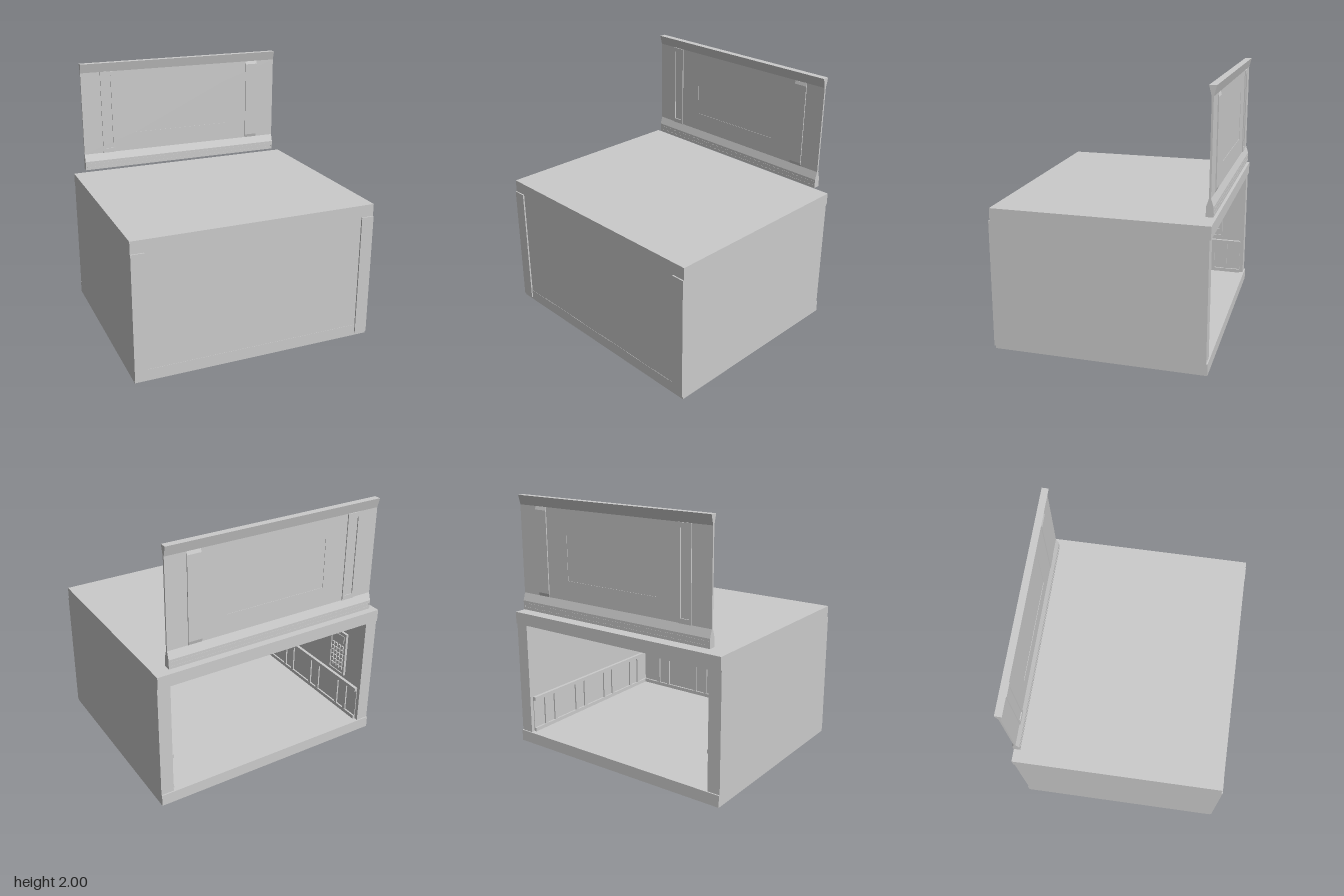
import * as THREE from 'three';

const material = new THREE.MeshStandardMaterial({ color: 0xcccccc, flatShading: true });

function add(parent, name, geometry, x = 0, y = 0, z = 0) {
  const mesh = new THREE.Mesh(geometry, material);
  mesh.name = name;
  mesh.position.set(x, y, z);
  parent.add(mesh);
  return mesh;
}

// Box given by its minimum and maximum corners
function block(parent, name, [x0, y0, z0], [x1, y1, z1]) {
  return add(parent, name, new THREE.BoxGeometry(x1 - x0, y1 - y0, z1 - z0),
    (x0 + x1) / 2, (y0 + y1) / 2, (z0 + z1) / 2);
}

function rectPath(path, x0, y0, x1, y1) {
  path.moveTo(x0, y0);
  path.lineTo(x1, y0);
  path.lineTo(x1, y1);
  path.lineTo(x0, y1);
  path.closePath();
  return path;
}

// Rectangular plate with a rectangular hole, centred in depth
function frame(outer, inner, depth) {
  const shape = rectPath(new THREE.Shape(), ...outer);
  shape.holes.push(rectPath(new THREE.Path(), ...inner));
  return new THREE.ExtrudeGeometry(shape, { depth, bevelEnabled: false }).translate(0, 0, -depth / 2);
}

// Profile in (z, y) swept along x
function sweepX(points, width) {
  const shape = new THREE.Shape(points.map(([z, y]) => new THREE.Vector2(-z, y)));
  return new THREE.ExtrudeGeometry(shape, { depth: width, bevelEnabled: false })
    .translate(0, 0, -width / 2).rotateY(Math.PI / 2);
}

// Panelling for one wall: u runs along the wall, v sticks out into the room
function wainscot(name, length) {
  const group = new THREE.Group();
  group.name = name;
  const half = length / 2;
  block(group, 'baseboard', [-half, 0.09, 0], [half, 0.12, 0.02]);
  block(group, 'topRail', [-half, 0.355, 0], [half, 0.385, 0.025]);
  block(group, 'lowerPanel', [-half, 0.12, 0], [half, 0.355, 0.006]);
  for (let i = 0; i < 4; i++) {
    const centre = -half + (length * (i + 0.5)) / 4;
    for (const offset of [-0.055, 0.055]) {
      const u = centre + offset;
      block(group, 'upright', [u - 0.014, 0.12, 0], [u + 0.014, 0.355, 0.018]);
    }
  }
  return group;
}

function buildRoom() {
  const room = new THREE.Group();
  room.name = 'room';
  block(room, 'floor', [-0.95, 0, -0.8], [0.95, 0.09, 0.79]);
  block(room, 'roof', [-0.95, 0.99, -0.8], [0.95, 1.085, 0.79]);
  block(room, 'frontWall', [-0.86, 0.05, 0.7], [0.86, 1.0, 0.788]);
  for (const s of [-1, 1]) {
    const x = [0.85 * s, 0.95 * s].sort((a, b) => a - b);
    block(room, 'sideWall', [x[0], 0.02, -0.79], [x[1], 0.99, 0.8]);
    const panelling = wainscot('sidePanelling', 1.46);
    panelling.position.set(0.85 * s, 0, -0.03);
    panelling.rotation.y = -s * Math.PI / 2;
    room.add(panelling);
  }
  const frontPanelling = wainscot('frontPanelling', 1.66);
  frontPanelling.position.z = 0.7;
  frontPanelling.rotation.y = Math.PI;
  room.add(frontPanelling);

  // Dropped ceiling with sloping edges
  const ceiling = new THREE.BoxGeometry(1.48, 0.045, 1.18);
  const p = ceiling.attributes.position;
  for (let i = 0; i < p.count; i++) {
    if (p.getY(i) < 0) p.setXYZ(i, 0.69 * Math.sign(p.getX(i)), p.getY(i), 0.475 * Math.sign(p.getZ(i)));
  }
  ceiling.computeVertexNormals();
  add(room, 'droppedCeiling', ceiling, 0, 0.9685, 0);

  // Two groups of ceiling light strips
  for (const centre of [-0.38, 0.38]) {
    for (const offset of [-0.06, 0, 0.06]) {
      const x = centre + offset;
      block(room, 'lightStrip', [x - 0.016, 0.93, -0.45], [x + 0.016, 0.948, 0.45]);
    }
  }
  return room;
}

// Wall control panel with a screen and rows of keys
function buildControlPanel() {
  const panel = new THREE.Group();
  panel.name = 'controlPanel';
  block(panel, 'backPlate', [-0.095, -0.19, 0], [0.095, 0.19, 0.012]);
  add(panel, 'rim', frame([-0.095, -0.19, 0.095, 0.19], [-0.083, -0.178, 0.083, 0.178], 0.01), 0, 0, 0.016);
  block(panel, 'screen', [-0.065, 0.095, 0.012], [0.065, 0.155, 0.018]);
  const key = new THREE.BoxGeometry(0.024, 0.024, 0.012);
  for (let row = 0; row < 6; row++) {
    for (let col = 0; col < 4; col++) {
      add(panel, 'key', key, (col - 1.5) * 0.037, 0.055 - row * 0.038, 0.018);
    }
  }
  panel.position.set(-0.85, 0.61, -0.505);
  panel.rotation.y = Math.PI / 2;
  return panel;
}

function buildDoor() {
  const door = new THREE.Group();
  door.name = 'raisedDoor';
  const width = 1.72;

  // Thin leaf with a shallow recess in the middle of both faces
  add(door, 'doorLeaf', frame([-0.86, 1.25, 0.86, 1.927], [-0.41, 1.4, 0.4, 1.775], 0.014));
  block(door, 'recessedPanel', [-0.41, 1.4, -0.004], [0.4, 1.775, 0.004]);

  // Flared top and bottom edges
  add(door, 'topEdge', sweepX([[-0.007, 1.927], [0.007, 1.927], [0.026, 2], [-0.026, 2]], width));
  add(door, 'bottomEdge', sweepX([[-0.026, 1.12], [0.026, 1.12], [0.026, 1.19],
    [0.007, 1.25], [-0.007, 1.25], [-0.026, 1.19]], width));
  for (const s of [-1, 1]) {
    add(door, 'sealStrip', frame([-0.85, 1.137, 0.85, 1.172], [-0.845, 1.142, 0.845, 1.167], 0.002), 0, 0, 0.0265 * s);
  }

  // Upright stiffeners: one framed, one with sloping ends
  add(door, 'framedStiffener', frame([-0.7, 1.25, -0.595, 1.927], [-0.685, 1.285, -0.613, 1.893], 0.03));
  add(door, 'plainStiffener', sweepX([[-0.008, 1.25], [0.008, 1.25], [0.015, 1.275], [0.015, 1.902],
    [0.008, 1.927], [-0.008, 1.927], [-0.015, 1.902], [-0.015, 1.275]], 0.105), 0.648, 0, 0);

  door.position.z = -0.77;
  return door;
}

export function createModel() {
  const model = new THREE.Group();
  model.name = 'roomWithRaisedDoor';
  model.add(buildRoom(), buildControlPanel(), buildDoor());
  return model;
}
